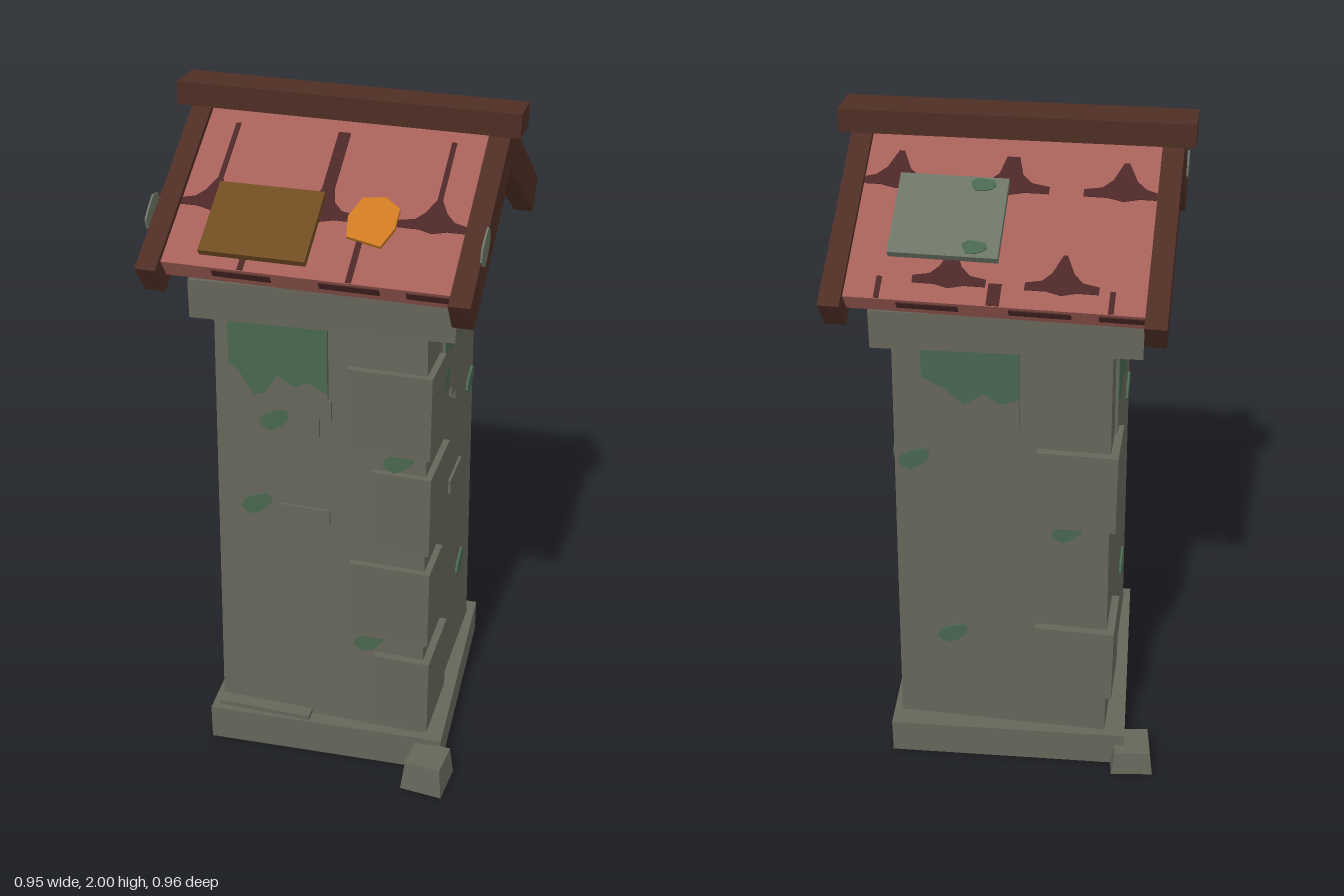
import * as THREE from 'three';

const mat = (name, color, side = THREE.FrontSide) => {
  const m = new THREE.MeshStandardMaterial({ color, side });
  m.name = name;
  return m;
};

export function createModel() {
  const stone = mat('stone', 0x66655a);
  const moss = mat('moss', 0x48664f);
  const timber = mat('timber', 0x4e2e24);
  const tile = mat('roof tile', 0xa45f57);
  const gap = mat('tile gap', 0x4b2727);
  const plaster = mat('plaster', 0x8c6a47);
  const plank = mat('old plank', 0x6f4b20);
  const orange = mat('orange patch', 0xcc7a22);
  const slate = mat('slate', 0x6c7466);

  const model = new THREE.Group();
  model.name = 'tower';

  const add = (parent, name, geometry, material) => {
    const mesh = new THREE.Mesh(geometry, material);
    mesh.name = name;
    parent.add(mesh);
    return mesh;
  };
  // Box given by its low and high corners
  const box = (parent, name, material, [x0, y0, z0], [x1, y1, z1]) => {
    const mesh = add(parent, name, new THREE.BoxGeometry(x1 - x0, y1 - y0, z1 - z0), material);
    mesh.position.set((x0 + x1) / 2, (y0 + y1) / 2, (z0 + z1) / 2);
    return mesh;
  };
  const shapeOf = (pts) => new THREE.Shape(pts.map(([x, y]) => new THREE.Vector2(x, y)));
  // Flat plate in the parent's XY plane
  const plate = (parent, name, material, pts, z, depth) => {
    const mesh = add(parent, name, new THREE.ExtrudeGeometry(shapeOf(pts), { depth, bevelEnabled: false }), material);
    mesh.position.z = z;
    return mesh;
  };
  // Profile in (z, y) stretched along x
  const alongX = (name, material, pts, x0, x1) => {
    const g = new THREE.ExtrudeGeometry(shapeOf(pts), { depth: x1 - x0, bevelEnabled: false });
    g.rotateY(-Math.PI / 2).translate(x1, 0, 0);
    return add(model, name, g, material);
  };
  // Square block that narrows upwards
  const taper = (name, bottom, top, height) => {
    const g = new THREE.CylinderGeometry(top * Math.SQRT2, bottom * Math.SQRT2, height, 4)
      .rotateY(Math.PI / 4).translate(0, height / 2, 0).toNonIndexed();
    g.computeVertexNormals();
    return add(model, name, g, stone);
  };
  const blob = (x, y, rx, ry, tilt = 0.5) => Array.from({ length: 9 }, (_, i) => {
    const a = i / 9 * Math.PI * 2, k = 1 + 0.12 * Math.sin(i * 2.3);
    const px = Math.cos(a) * rx * k, py = Math.sin(a) * ry * k;
    return [x + px * Math.cos(tilt) - py * Math.sin(tilt), y + px * Math.sin(tilt) + py * Math.cos(tilt)];
  });

  // Stone shaft, with base and cap turned slightly
  taper('shaft', 0.32, 0.3, 1.36).position.y = 0.11;
  box(model, 'base', stone, [-0.363, 0, -0.363], [0.363, 0.115, 0.363]).rotation.y = 0.06;
  box(model, 'cap', stone, [-0.361, 1.46, -0.361], [0.361, 1.57, 0.361]).rotation.y = 0.058;
  box(model, 'baseLedge', stone, [-0.32, 0.11, 0.31], [-0.03, 0.13, 0.36]);

  // Loose stones by the base
  for (const [x, z, h, turn] of [[0.355, 0.39, 0.095, -0.08], [-0.405, -0.32, 0.078, 0.14]]) {
    const s = taper('footStone', 0.064, 0.054, h);
    s.position.set(x, 0, z);
    s.rotation.y = turn;
  }

  // Corner stones: x start, z start, bottom, outer face
  for (const [x, z, y, r] of [[0.08, 0.155, 1.08, 0.32], [0.155, 0.09, 0.77, 0.325],
    [0.09, 0.165, 0.455, 0.33], [0.17, 0.1, 0.14, 0.338]])
    box(model, 'cornerStone', stone, [x, y, z], [r, y + 0.253, r]);
  for (const [y, r] of [[0.88, 0.328], [0.26, 0.337]])
    box(model, 'cornerStone', stone, [-r, y, -r], [-0.1, y + 0.253, -0.15]);

  // Wall details, one entry for each side of the shaft: front, +x, back, -x
  const walls = [
    { panel: [[-0.26, 1.1], [0, 1.1], [0, 1.16], [0.035, 1.16], [0.035, 1.22], [0.025, 1.22], [0.025, 1.46], [-0.26, 1.46]],
      moss: [[-0.26, 1.3], [-0.23, 1.28], [-0.19, 1.21], [-0.16, 1.22], [-0.12, 1.28], [-0.07, 1.25], [-0.03, 1.27], [0.025, 1.24], [0.025, 1.46], [-0.26, 1.46]],
      spots: [[-0.19, 0.855], [0.23, 1.06], [0.15, 0.43], [-0.13, 1.14]], brick: [-0.12, 0.82] },
    { panel: [[-0.13, 1.17], [-0.03, 1.17], [-0.03, 1.13], [0.02, 1.13], [0.02, 1.1], [0.07, 1.14], [0.1, 1.14], [0.1, 1.46], [-0.13, 1.46]],
      moss: [[-0.13, 1.3], [-0.09, 1.32], [-0.05, 1.29], [0, 1.31], [0.04, 1.28], [0.07, 1.29], [0.1, 1.32], [0.1, 1.46], [-0.13, 1.46]],
      spots: [[0.24, 1.05], [0.15, 0.44], [-0.1, 1.22]], brick: [-0.02, 0.795] },
    { panel: [[-0.22, 1.2], [0.05, 1.2], [0.05, 1.46], [-0.22, 1.46]],
      moss: [[-0.22, 1.34], [-0.16, 1.31], [-0.1, 1.26], [-0.05, 1.3], [0, 1.27], [0.05, 1.29], [0.05, 1.46], [-0.22, 1.46]],
      spots: [[-0.25, 1.07], [-0.15, 0.45], [0.19, 0.86]] },
    { panel: [[-0.2, 1.12], [0.08, 1.12], [0.08, 1.46], [-0.2, 1.46]],
      moss: [[-0.2, 1.25], [-0.13, 1.2], [-0.06, 1.24], [0.02, 1.2], [0.08, 1.24], [0.08, 1.46], [-0.2, 1.46]],
      spots: [[0.2, 1.05], [0.12, 0.44]] },
  ];
  walls.forEach((w, k) => {
    const side = new THREE.Group();
    side.name = 'wallSide';
    side.rotation.y = k * Math.PI / 2;
    const face = new THREE.Group();
    face.name = 'wallDetails';
    face.position.set(0, 0, 0.322);
    face.rotation.x = -0.015;
    side.add(face);
    model.add(side);
    plate(face, 'wallPanel', stone, w.panel, -0.004, 0.012);
    plate(face, 'wallMoss', moss, w.moss, 0.005, 0.005);
    for (const [x, y] of w.spots) plate(face, 'mossSpot', moss, blob(x, y, 0.05, 0.028), 0.002, 0.007);
    if (w.brick) {
      const [x, y] = w.brick;
      box(face, 'wallBrick', stone, [x, y, -0.005], [x + 0.15, y + 0.045, 0.008]);
    }
  });

  // Gable: sill, plaster infill and posts
  box(model, 'sill', timber, [-0.315, 1.57, -0.305], [0.315, 1.62, 0.305]);
  alongX('gable', plaster, [[0.3, 1.62], [0, 1.845], [-0.3, 1.62]], -0.305, 0.305);
  for (const s of [-1, 1])
    box(model, 'gablePost', timber, [s * 0.31 - 0.01, 1.62, -0.01], [s * 0.31 + 0.01, 1.83, 0.01]);

  // Roof, barge boards and ridge beam
  alongX('roof', tile, [[0.44, 1.64], [0, 1.93], [-0.44, 1.64], [-0.407, 1.59], [0, 1.858], [0.407, 1.59]], -0.39, 0.39);
  const board = [[0.48, 1.63], [0, 1.946], [-0.48, 1.63], [-0.42, 1.545], [0, 1.82], [0.42, 1.545]];
  alongX('bargeBoard', timber, board, 0.387, 0.444);
  alongX('bargeBoard', timber, board, -0.444, -0.387);
  box(model, 'ridgeBeam', timber, [-0.474, 1.932, -0.057], [0.474, 1.996, 0.057]).rotation.z = -0.01;

  // Slate patches on the outer sides of the boards
  for (const s of [-1, 1]) {
    const holder = new THREE.Group();
    holder.name = 'boardPatch';
    holder.position.set(s * 0.444, 1.73, 0.33);
    holder.rotation.y = s * Math.PI / 2;
    model.add(holder);
    plate(holder, 'slatePatch', slate, blob(0, 0, 0.055, 0.04, s * 0.58), 0, 0.005);
  }

  // Slope frames: x across, d is the level distance from the ridge
  const pitch = 0.583, run = (d) => -d / Math.cos(pitch);
  const slope = (name, turn) => {
    const outer = new THREE.Group(), inner = new THREE.Group();
    outer.name = name;
    inner.name = name + 'Details';
    outer.position.y = 1.93;
    outer.rotation.y = turn;
    inner.rotation.x = pitch - Math.PI / 2;
    outer.add(inner);
    model.add(outer);
    return inner;
  };
  const front = slope('frontSlope', 0), back = slope('backSlope', Math.PI);
  const onRoof = (parent, name, material, pts, depth) => plate(parent, name, material,
    pts.map(([x, d]) => [THREE.MathUtils.clamp(x, -0.386, 0.386), run(d)]).reverse(), -0.001, depth);
  const line = (parent, x, d0, d1, w) =>
    onRoof(parent, 'tileJoint', gap, [[x - w, d0], [x + w, d0], [x + w, d1], [x - w, d1]], 0.003);
  // Dark curved gap between two rounded tiles, wide towards the eave
  const cusp = (parent, x, d, w, h, lw) => onRoof(parent, 'tileGap', gap, [
    [x - lw, d - h], [x + lw, d - h], [x + 0.3 * w, d - 0.045], [x + 0.55 * w, d - 0.025], [x + w, d - 0.018],
    [x + w, d], [x + 0.4 * w, d], [x, d + 0.008], [x - 0.4 * w, d], [x - w, d],
    [x - w, d - 0.018], [x - 0.55 * w, d - 0.025], [x - 0.3 * w, d - 0.045]], 0.003);

  for (const [x, lw] of [[-0.3, 0.007], [0, 0.017], [0.3, 0.007]]) {
    line(front, x, 0.05, 0.22, lw);
    cusp(front, x, 0.285, 0.095, 0.08, lw);
    cusp(back, x, 0.155, 0.105, 0.09, lw);
    line(back, x, 0.385, 0.438, lw);
  }
  for (const x of [-0.17, 0.12]) {
    line(front, x, 0.3, 0.438, 0.008);
    cusp(back, -x, 0.395, 0.095, 0.09, 0.005);
  }
  // Gaps showing on the eave edges
  for (const s of [front, back]) for (const x of [-0.17, 0.12, 0.35])
    box(s, 'eaveGap', gap, [x - 0.08, run(0.44) - 0.003, -0.035], [Math.min(x + 0.08, 0.386), run(0.44) + 0.004, -0.01]);

  // Roof repairs: plank, orange patch and mossy slate
  box(front, 'plankPatch', plank, [-0.29, run(0.41), 0], [0, run(0.225), 0.02]);
  onRoof(front, 'orangePatch', orange, [[0.075, 0.275], [0.1, 0.225], [0.16, 0.217], [0.205, 0.243],
    [0.205, 0.295], [0.18, 0.345], [0.125, 0.335], [0.085, 0.328]], 0.012);
  box(back, 'slatePatch', slate, [-0.288, run(0.335), 0], [0, run(0.133), 0.022]);
  for (const d of [0.31, 0.153])
    plate(back, 'slateMoss', moss, blob(-0.065, run(d), 0.034, 0.02, 0), 0.02, 0.005);

  return model;
}
